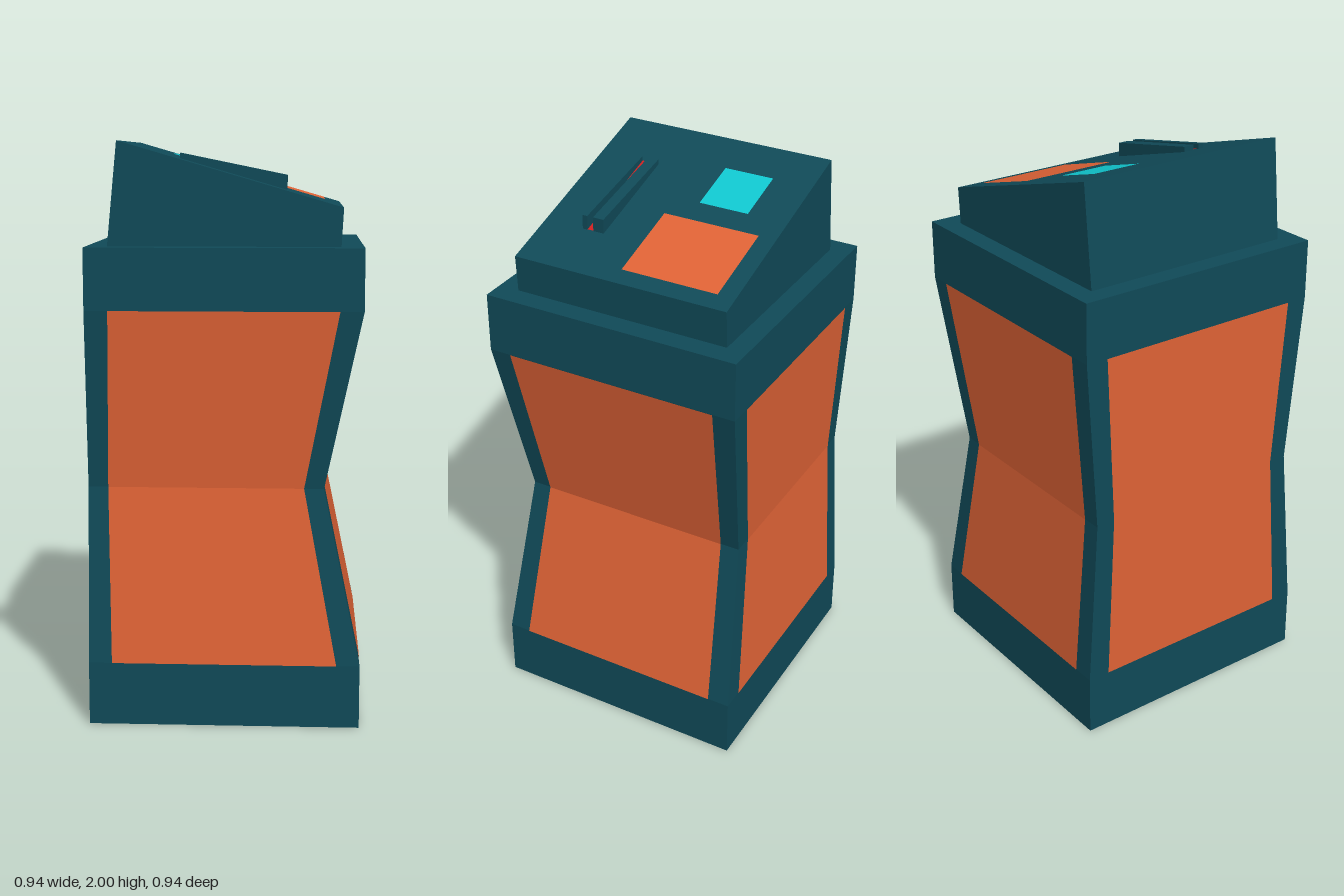
import * as THREE from 'three';

const teal = new THREE.MeshStandardMaterial({ color: 0x104a58, flatShading: true });
const orange = new THREE.MeshStandardMaterial({ color: 0xe06336, flatShading: true });
const cyan = new THREE.MeshStandardMaterial({ color: 0x10c8d0, flatShading: true });
const red = new THREE.MeshStandardMaterial({ color: 0xd02020, flatShading: true });

// Flat-faced geometry from a list of quads, corners counter-clockwise
function quads(list) {
  const pos = [];
  for (const [a, b, c, d] of list) for (const p of [a, b, c, a, c, d]) pos.push(p.x, p.y, p.z);
  const g = new THREE.BufferGeometry();
  g.setAttribute('position', new THREE.Float32BufferAttribute(pos, 3));
  g.computeVertexNormals();
  return g;
}

// Rectangular cross-section; yL and yR are the heights at its -x and +x edges
function ring(x0, x1, z0, z1, yL, yR = yL) {
  const v = (x, y, z) => new THREE.Vector3(x, y, z);
  return [v(x0, yL, z1), v(x1, yR, z1), v(x1, yR, z0), v(x0, yL, z0)];
}

// Closed solid through a stack of rings
function loft(rings) {
  const list = [[...rings[0]].reverse(), rings[rings.length - 1]];
  for (let k = 0; k + 1 < rings.length; k++) {
    const [lo, hi] = [rings[k], rings[k + 1]];
    for (let i = 0; i < 4; i++) {
      const j = (i + 1) % 4;
      list.push([lo[i], lo[j], hi[j], hi[i]]);
    }
  }
  return quads(list);
}

// Height of the sloping top
const slope = (x) => 2 - ((x + 0.36) * 0.22) / 0.755;

export function createModel() {
  const model = new THREE.Group();
  const add = (name, geometry, material) => {
    const mesh = new THREE.Mesh(geometry, material);
    mesh.name = name;
    model.add(mesh);
  };

  // Pinched pedestal, flat on its -x side
  const square = (y) => ring(-0.467, 0.467, -0.467, 0.467, y);
  const waist = ring(-0.467, 0.34, -0.43, 0.408, 0.83);
  const levels = [square(0), square(0.22), waist, square(1.44), square(1.65)];
  add('body', loft(levels), teal);

  // Folded panel lying on each side
  const out = [[0, 1], [1, 0], [0, -1], [-1, 0]];
  ['frontPanel', 'rightSidePanel', 'backPanel', 'leftSidePanel'].forEach((name, i) => {
    const rows = [1, 2, 3].map((k) => {
      const a = levels[k][i];
      const b = levels[k][(i + 1) % 4];
      const margin = (k === 2 ? 0.068 : 0.08) / a.distanceTo(b);
      const lift = new THREE.Vector3(out[i][0], 0, out[i][1]).multiplyScalar(0.002);
      return [a.clone().lerp(b, margin).add(lift), b.clone().lerp(a, margin).add(lift)];
    });
    add(name, quads([0, 1].map((k) => [rows[k][0], rows[k][1], rows[k + 1][1], rows[k + 1][0]])), orange);
  });

  // Strip under the back edge
  add('baseStrip', quads([ring(-0.4, 0.467, -0.467, -0.39, -0.001).reverse()]), orange);

  // Wedge-shaped head
  add('head', loft([
    ring(-0.395, 0.39, -0.395, 0.392, 1.65),
    ring(-0.36, 0.397, -0.395, 0.392, 2, 1.78),
  ]), teal);

  // Flat inlays on the sloping top
  const inlay = (name, x0, x1, z0, z1, material) =>
    add(name, quads([ring(x0, x1, z0, z1, slope(x0) + 0.002, slope(x1) + 0.002)]), material);
  inlay('screen', -0.212, -0.027, -0.25, -0.07, cyan);
  inlay('topPlate', 0.056, 0.338, -0.332, 0.018, orange);
  inlay('slotLine', -0.16, 0.207, 0.204, 0.226, red);

  // Two rails either side of the slot
  for (const [name, z0, z1] of [['backSlotRail', 0.164, 0.204], ['frontSlotRail', 0.226, 0.245]]) {
    add(name, loft([
      ring(-0.16, 0.207, z0, z1, slope(-0.16) - 0.005, slope(0.207) - 0.005),
      ring(-0.16, 0.207, z0, z1, 1.96, 1.885),
    ]), teal);
  }
  return model;
}
